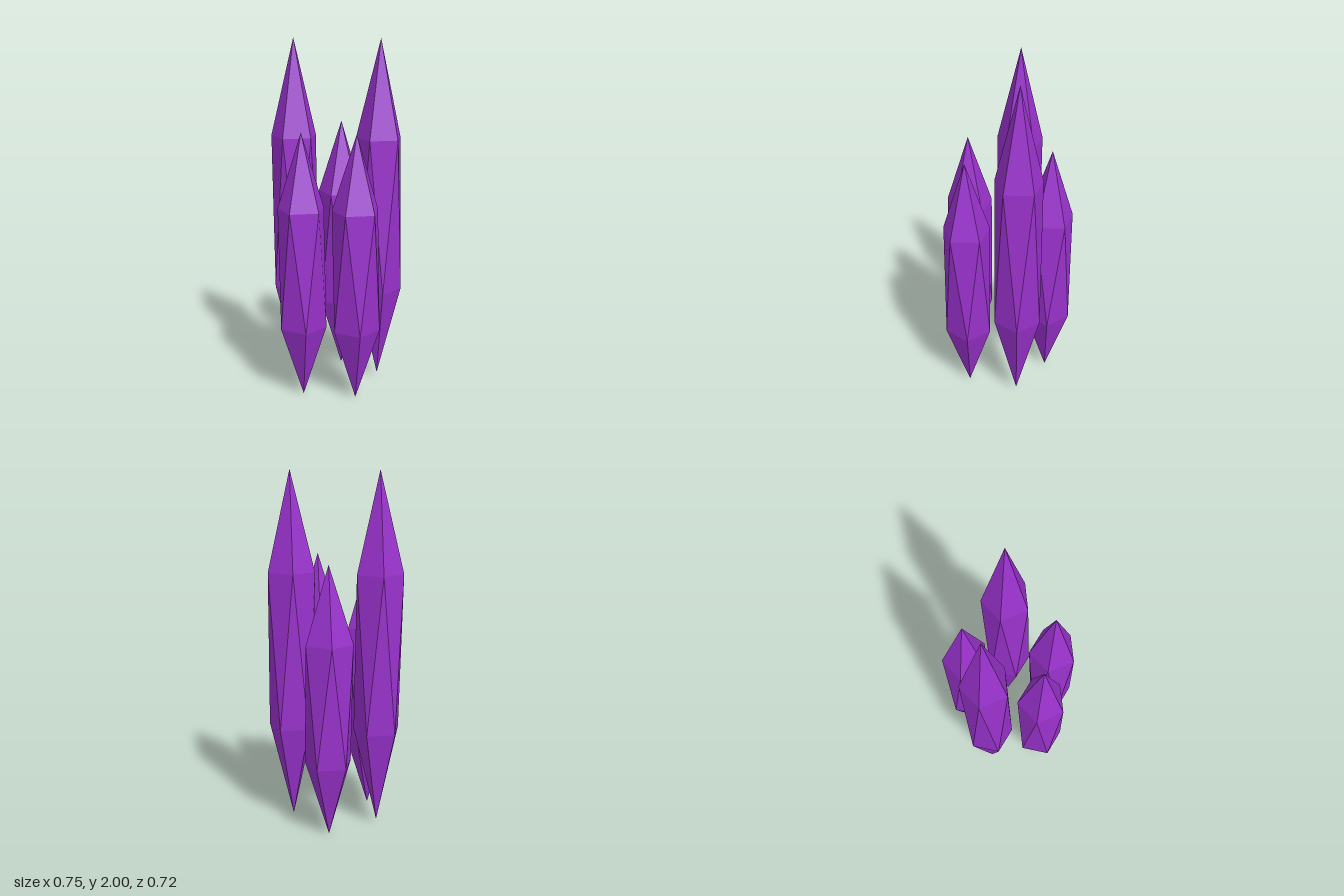
import * as THREE from 'three';

const RING_RADIUS = 0.1342; // width of every crystal at its two rings
const CLUSTER_RADIUS = 0.2555;
const CLUSTER_Z = -0.0255;

// Stretched icosahedron: two tips and two five-sided rings, half a step apart
function crystalGeometry(halfHeight) {
  const ringY = halfHeight / Math.sqrt(5);
  const step = (Math.PI * 2) / 5;
  const ring = (i, y, offset) => {
    const a = (i + offset) * step;
    return [RING_RADIUS * Math.cos(a), y, RING_RADIUS * Math.sin(a)];
  };
  const top = [0, halfHeight, 0];
  const base = [0, -halfHeight, 0];
  const positions = [];
  for (let i = 0; i < 5; i++) {
    const u0 = ring(i, ringY, 0);
    const u1 = ring(i + 1, ringY, 0);
    const l0 = ring(i, -ringY, 0.5);
    const l1 = ring(i + 1, -ringY, 0.5);
    positions.push(
      ...top, ...u1, ...u0, // upper point
      ...u0, ...u1, ...l0, // side facets
      ...u1, ...l1, ...l0,
      ...l0, ...l1, ...base // lower point
    );
  }
  const geometry = new THREE.BufferGeometry();
  geometry.setAttribute('position', new THREE.Float32BufferAttribute(positions, 3));
  geometry.computeVertexNormals();
  return geometry;
}

export function createModel() {
  const model = new THREE.Group();
  model.name = 'crystalCluster';

  const purple = new THREE.MeshStandardMaterial({ color: 0x9932cc });
  purple.name = 'purple crystal';
  purple.flatShading = true;

  const short = { geometry: crystalGeometry(0.76), y: 0.76 };
  const tall = { geometry: crystalGeometry(0.987), y: 1.013 };

  // Five crystals in a circle, starting at the front and going to the left
  [short, tall, short, tall, short].forEach((kind, i) => {
    const angle = (i * Math.PI * 2) / 5;
    const crystal = new THREE.Mesh(kind.geometry, purple);
    crystal.name = (kind === tall ? 'tallCrystal' : 'shortCrystal') + (i + 1);
    crystal.position.set(
      CLUSTER_RADIUS * Math.sin(angle),
      kind.y,
      CLUSTER_Z + CLUSTER_RADIUS * Math.cos(angle)
    );
    model.add(crystal);
  });

  return model;
}
